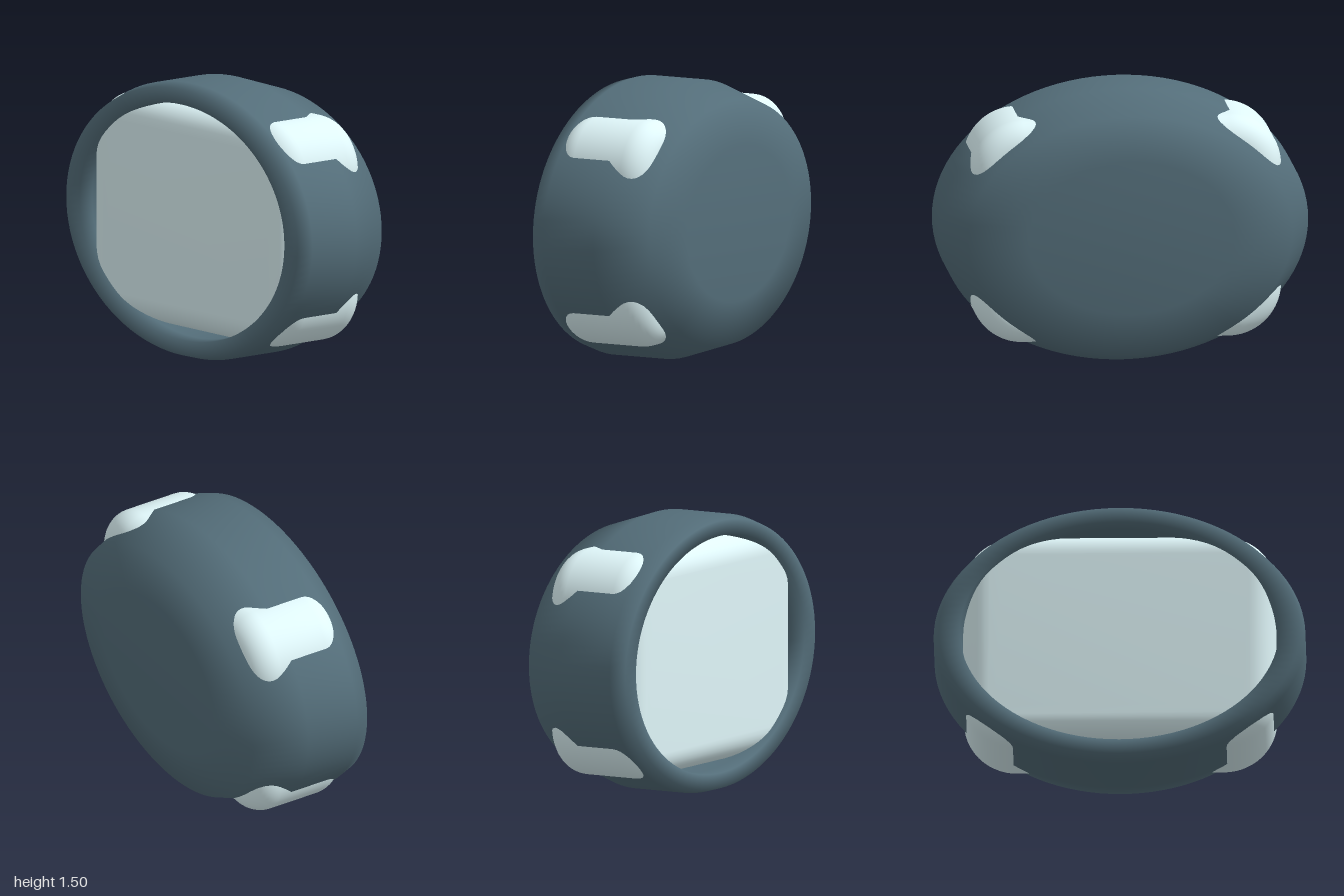
import * as THREE from 'three';
import { mergeVertices, toCreasedNormals } from 'three/addons/utils/BufferGeometryUtils.js';

const CENTRE_Y = 0.754;

function roundedRect(w, h, r) {
  const s = new THREE.Shape();
  s.absarc(w - r, h - r, r, 0, Math.PI / 2);
  s.absarc(-w + r, h - r, r, Math.PI / 2, Math.PI);
  s.absarc(-w + r, -h + r, r, Math.PI, Math.PI * 1.5);
  s.absarc(w - r, -h + r, r, Math.PI * 1.5, Math.PI * 2);
  return s;
}

export function createModel() {
  const group = new THREE.Group();

  // Oval shell: [radius, z] profile from the back centre, around the rim, into the deep cavity
  const profile = [
    [0, -0.36], [0.56, -0.36], [0.88, -0.305], [1, -0.03], [1, 0.28], [0.97, 0.36],
    [0.86, 0.36], [0.85, 0.28], [0.84, -0.03], [0.76, -0.23], [0.5, -0.27], [0, -0.27],
  ].map(([r, z]) => new THREE.Vector2(r, z));
  const shellGeometry = new THREE.LatheGeometry(profile, 96);
  shellGeometry.rotateX(Math.PI / 2).scale(1, 0.75, 1);
  const shell = new THREE.Mesh(shellGeometry, new THREE.MeshStandardMaterial({ color: 0x546e7a }));
  shell.name = 'ovalShell';
  shell.position.y = CENTRE_Y;
  group.add(shell);

  // Rounded block inside the shell; its four corners push out through the sides
  const bevel = 0.14;
  const back = -0.245;
  const front = 0.33;
  const blockGeometry = new THREE.ExtrudeGeometry(roundedRect(0.842 - bevel, 0.614 - bevel, 0.145), {
    depth: front - back - 2 * bevel,
    bevelSize: bevel,
    bevelThickness: bevel,
    bevelSegments: 10,
    curveSegments: 14,
  });
  blockGeometry.translate(0, 0, back + bevel);
  blockGeometry.deleteAttribute('uv');
  blockGeometry.deleteAttribute('normal');
  const block = new THREE.Mesh(
    toCreasedNormals(mergeVertices(blockGeometry), 0.7),
    new THREE.MeshStandardMaterial({ color: 0xe0f7fa }),
  );
  block.name = 'innerBlock';
  block.position.y = CENTRE_Y;
  group.add(block);

  return group;
}
